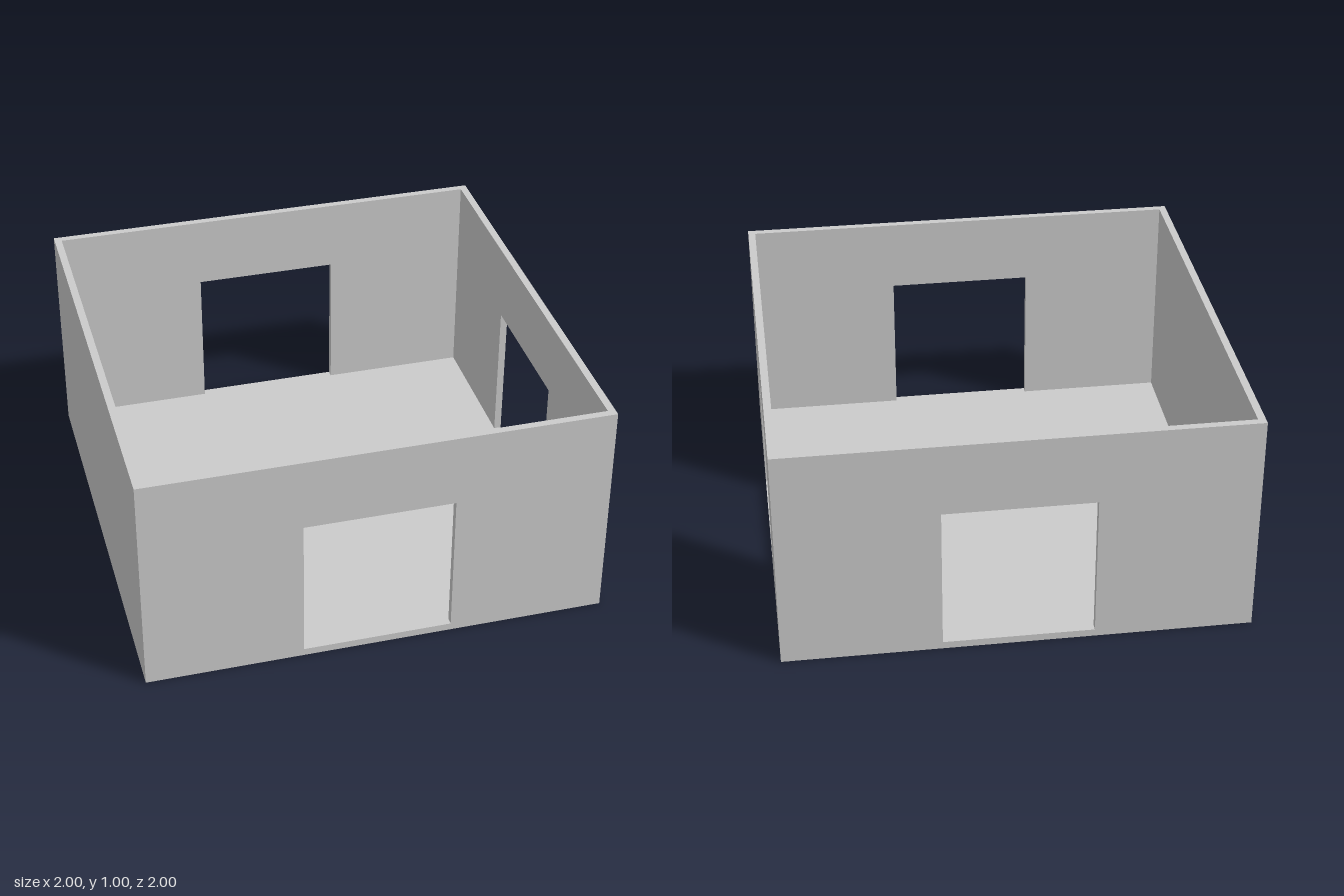
import * as THREE from 'three';

const T = 1 / 31;          // wall and floor thickness
const DOOR = 20 / 31;      // width and height of each square doorway

const material = new THREE.MeshStandardMaterial({ color: 0xcccccc, flatShading: true });

// Wall facing +z with mitred ends, optionally pierced by a doorway
function wallGeometry(hasDoor) {
  const shape = new THREE.Shape([[-1, 0], [1, 0], [1, 1], [-1, 1]].map(p => new THREE.Vector2(...p)));
  if (hasDoor) {
    const h = DOOR / 2, top = T + DOOR;
    shape.holes.push(new THREE.Path([[-h, T], [-h, top], [h, top], [h, T]].map(p => new THREE.Vector2(...p))));
  }
  const geometry = new THREE.ExtrudeGeometry(shape, { depth: T, bevelEnabled: false });
  // Pull the inner corners in so neighbouring walls meet at 45 degrees
  const pos = geometry.attributes.position;
  for (let i = 0; i < pos.count; i++) {
    const x = pos.getX(i);
    if (pos.getZ(i) < T / 2 && Math.abs(x) > 0.99) pos.setX(i, Math.sign(x) * (1 - T));
  }
  geometry.translate(0, 0, 1 - T);
  geometry.computeVertexNormals();
  return geometry;
}

export function createModel() {
  const room = new THREE.Group();
  room.name = 'room';

  // Four walls, three of them with doorways
  const walls = [
    ['frontWall', 0, true],
    ['leftWall', Math.PI / 2, true],
    ['backWall', Math.PI, true],
    ['rightWall', -Math.PI / 2, false],
  ];
  for (const [name, angle, hasDoor] of walls) {
    const wall = new THREE.Mesh(wallGeometry(hasDoor), material);
    wall.name = name;
    wall.rotation.y = angle;
    room.add(wall);
  }

  // Floor slab between the walls, flush with the door sills
  const floor = new THREE.Mesh(new THREE.BoxGeometry(2 - 2 * T, T, 2 - 2 * T), material);
  floor.name = 'floor';
  floor.position.y = T / 2;
  room.add(floor);

  return room;
}
